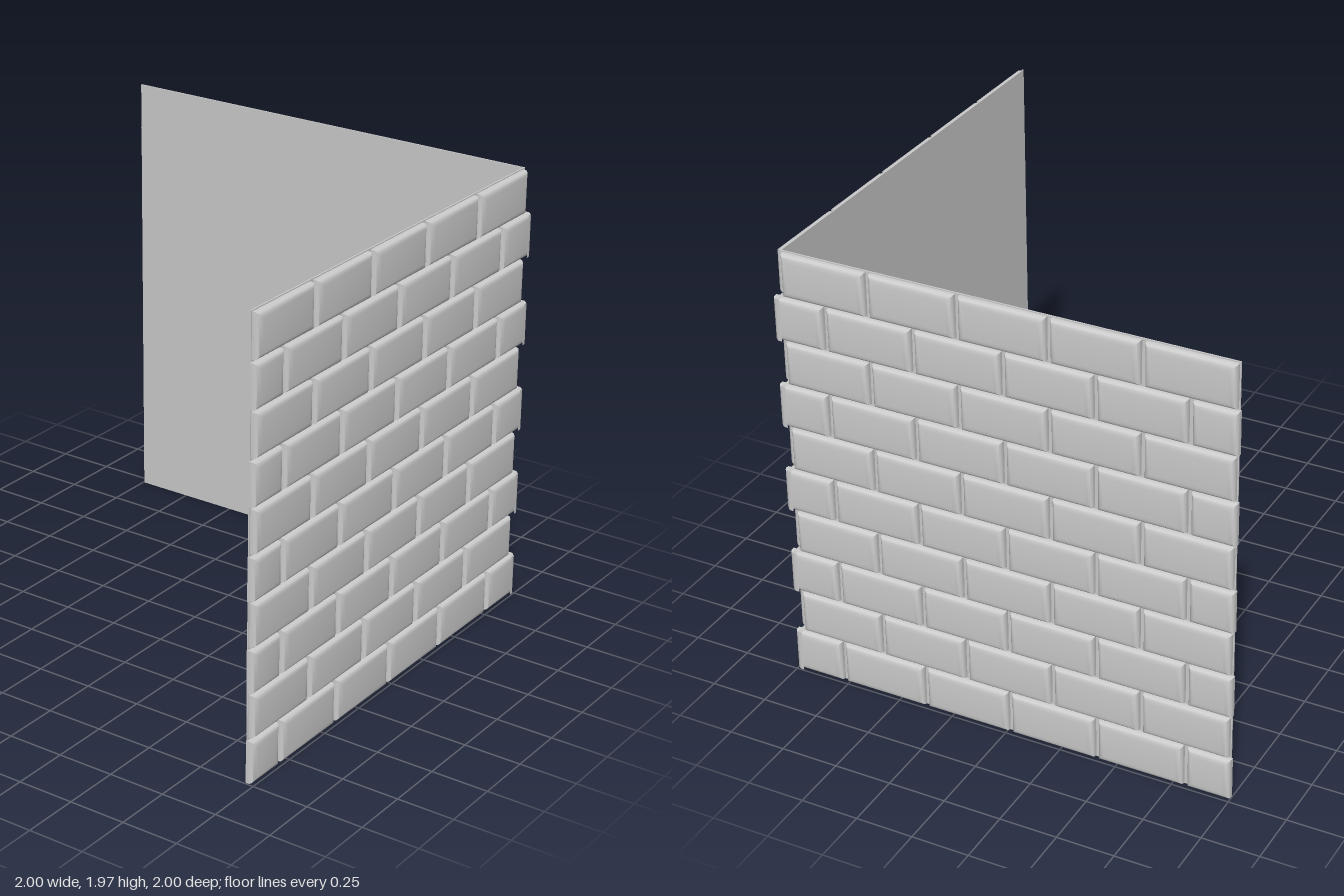
import * as THREE from 'three';
import { toCreasedNormals } from 'three/addons/utils/BufferGeometryUtils.js';

const material = new THREE.MeshStandardMaterial({ color: 0xcccccc });
const ROWS = 10, ROW_H = 0.1965, CELL = 0.393, INNER = 0.965, DEPTH = 0.035;

// Pillowed brick: straight sides, then a quarter-ellipse shoulder; faces +z, open at the back.
function brickGeometry(width, height) {
  const rings = [[0, 0]];
  for (let i = 0; i <= 4; i++) {
    const a = (i / 4) * Math.PI / 2;
    rings.push([0.03 * (1 - Math.cos(a)), 0.015 + (DEPTH - 0.015) * Math.sin(a)]);
  }
  const positions = [], index = [];
  rings.forEach(([inset, z], k) => {
    const w = width / 2 - inset, h = height / 2 - inset;
    positions.push(-w, -h, z, w, -h, z, w, h, z, -w, h, z);
    if (k === 0) return;
    for (let j = 0; j < 4; j++) {
      const n = (j + 1) % 4, a = (k - 1) * 4, b = k * 4;
      index.push(a + j, a + n, b + n, a + j, b + n, b + j);
    }
  });
  const cap = (rings.length - 1) * 4;
  index.push(cap, cap + 1, cap + 2, cap, cap + 2, cap + 3);
  const geometry = new THREE.BufferGeometry();
  geometry.setAttribute('position', new THREE.Float32BufferAttribute(positions, 3));
  geometry.setIndex(index);
  return toCreasedNormals(geometry, Math.PI / 4);
}

// Brick spans along a wall, from the free end (-1) towards the corner (+1).
function rowSpans(row) {
  const spans = [];
  if (row % 2) {
    for (let i = 0; i < 5; i++) spans.push([-1 + i * CELL + 0.01, -1 + (i + 1) * CELL - 0.01]);
  } else {
    spans.push([-1, -1 + CELL / 2 - 0.01]);
    for (let i = 0; i < 4; i++) spans.push([-1 + (i + 0.5) * CELL + 0.01, -1 + (i + 1.5) * CELL - 0.01]);
    spans.push([-1 + 4.5 * CELL + 0.01, 1]);
  }
  return spans;
}

// place(s) gives the wall position at distance s along its length.
function buildWall(name, turn, place) {
  const wall = new THREE.Group();
  wall.name = name;

  // Thin mortar panel behind the bricks
  const start = -0.995, end = INNER + 0.004;
  const panel = new THREE.Mesh(new THREE.BoxGeometry(end - start, ROWS * ROW_H, 0.006), material);
  panel.name = 'mortarPanel';
  panel.position.copy(place((start + end) / 2, INNER + 0.001)).setY(ROWS * ROW_H / 2);
  panel.rotation.y = turn;
  wall.add(panel);

  // Running-bond courses
  for (let row = 0; row < ROWS; row++) {
    const course = new THREE.Group();
    course.name = 'brickCourse';
    for (const [a, b] of rowSpans(row)) {
      const brick = new THREE.Mesh(brickGeometry(b - a, ROW_H - 0.01), material);
      brick.name = b === 1 ? 'cornerBrick' : 'brick';
      brick.position.copy(place((a + b) / 2, INNER)).setY((row + 0.5) * ROW_H);
      brick.rotation.y = turn;
      course.add(brick);
    }
    wall.add(course);
  }
  return wall;
}

export function createModel() {
  const model = new THREE.Group();
  model.name = 'brickCornerWall';
  model.add(buildWall('sideWall', Math.PI / 2, (s, out) => new THREE.Vector3(out, 0, -s)));
  model.add(buildWall('backWall', Math.PI, (s, out) => new THREE.Vector3(s, 0, -out)));
  return model;
}
